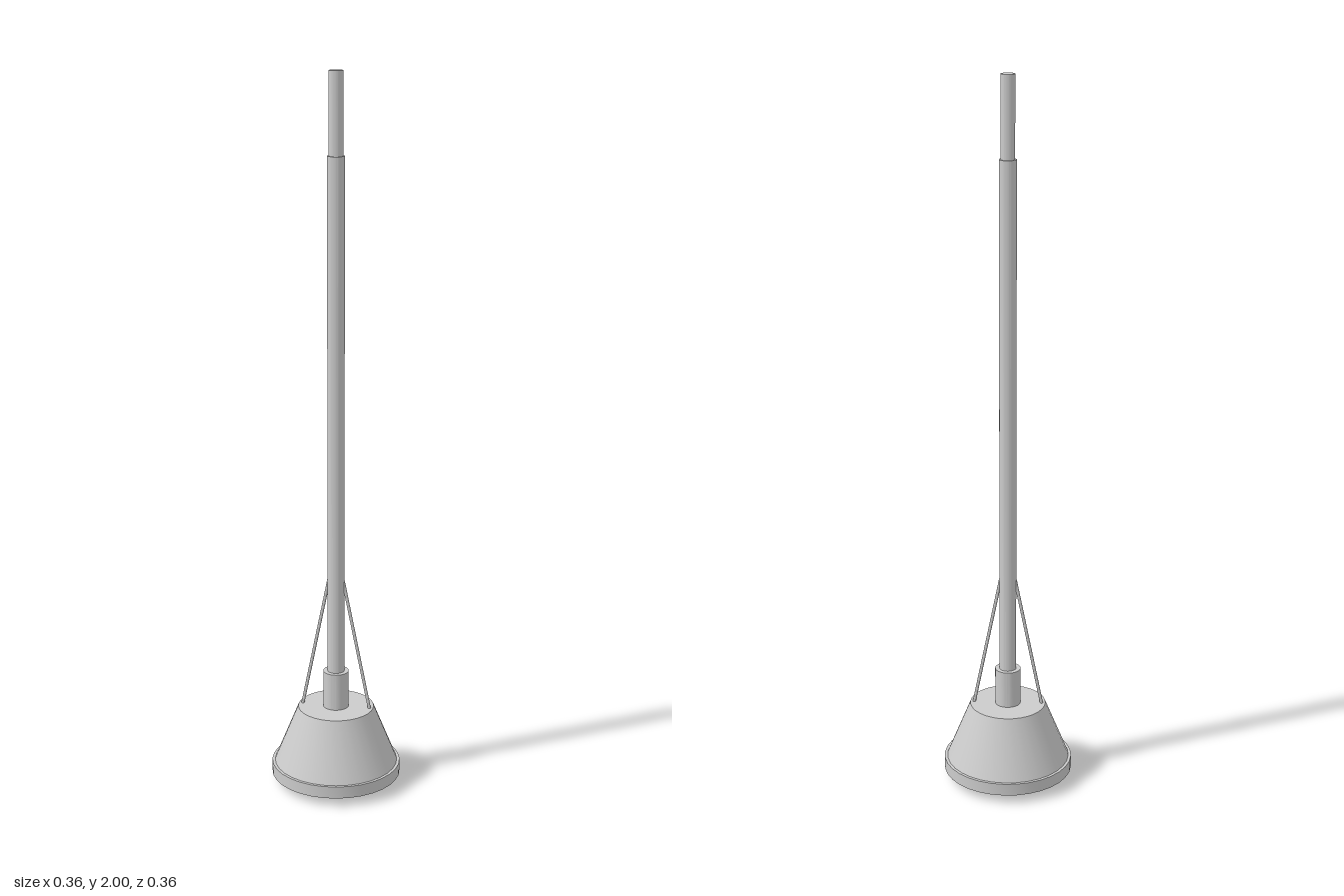
import * as THREE from 'three';
import { toCreasedNormals } from 'three/addons/utils/BufferGeometryUtils.js';

const grey = new THREE.MeshStandardMaterial({ color: 0xcccccc, side: THREE.DoubleSide });

// Turned part from [radius, height] pairs, listed from bottom to top along the outside.
function turned(name, profile, sides = 32) {
  const points = profile.map(([r, y]) => new THREE.Vector2(r, y));
  const geometry = toCreasedNormals(new THREE.LatheGeometry(points, sides), 0.35);
  const mesh = new THREE.Mesh(geometry, grey);
  mesh.name = name;
  return mesh;
}

// Thin round bar between two points.
function bar(name, from, to, radius) {
  const geometry = new THREE.CylinderGeometry(radius, radius, from.distanceTo(to), 12);
  const mesh = new THREE.Mesh(geometry, grey);
  mesh.name = name;
  mesh.position.copy(from).lerp(to, 0.5);
  mesh.quaternion.setFromUnitVectors(new THREE.Vector3(0, 1, 0), to.clone().sub(from).normalize());
  return mesh;
}

export function createModel() {
  const model = new THREE.Group();
  model.name = 'pendantLamp';

  // Conical shade with a stepped rim and an inward-sloping underside
  model.add(turned('shade', [
    [0.142, 0.04], [0.182, 0.025], [0.182, 0.06], [0.174, 0.06], [0.107, 0.225], [0, 0.225],
  ]));

  // Shallow bulging lens under the shade
  const lens = [];
  for (let i = 0; i <= 10; i++) {
    const t = i / 10;
    lens.push([0.142 * t, 0.04 * t * t]);
  }
  model.add(turned('lens', lens));

  // Collar, main pole and narrower top section
  model.add(turned('collar', [[0.036, 0.225], [0.036, 0.332], [0, 0.332]]));
  model.add(turned('pole', [[0.0235, 0.33], [0.0235, 1.78], [0, 1.78]]));
  model.add(turned('poleTop', [[0.019, 1.78], [0.019, 2], [0, 2]]));

  // Slanted stays from the shade's top to the pole
  for (const side of [1, -1]) {
    model.add(bar(side > 0 ? 'leftStay' : 'rightStay',
      new THREE.Vector3(side * 0.097, 0.22, 0),
      new THREE.Vector3(side * 0.016, 0.625, 0), 0.0045));
  }
  return model;
}
